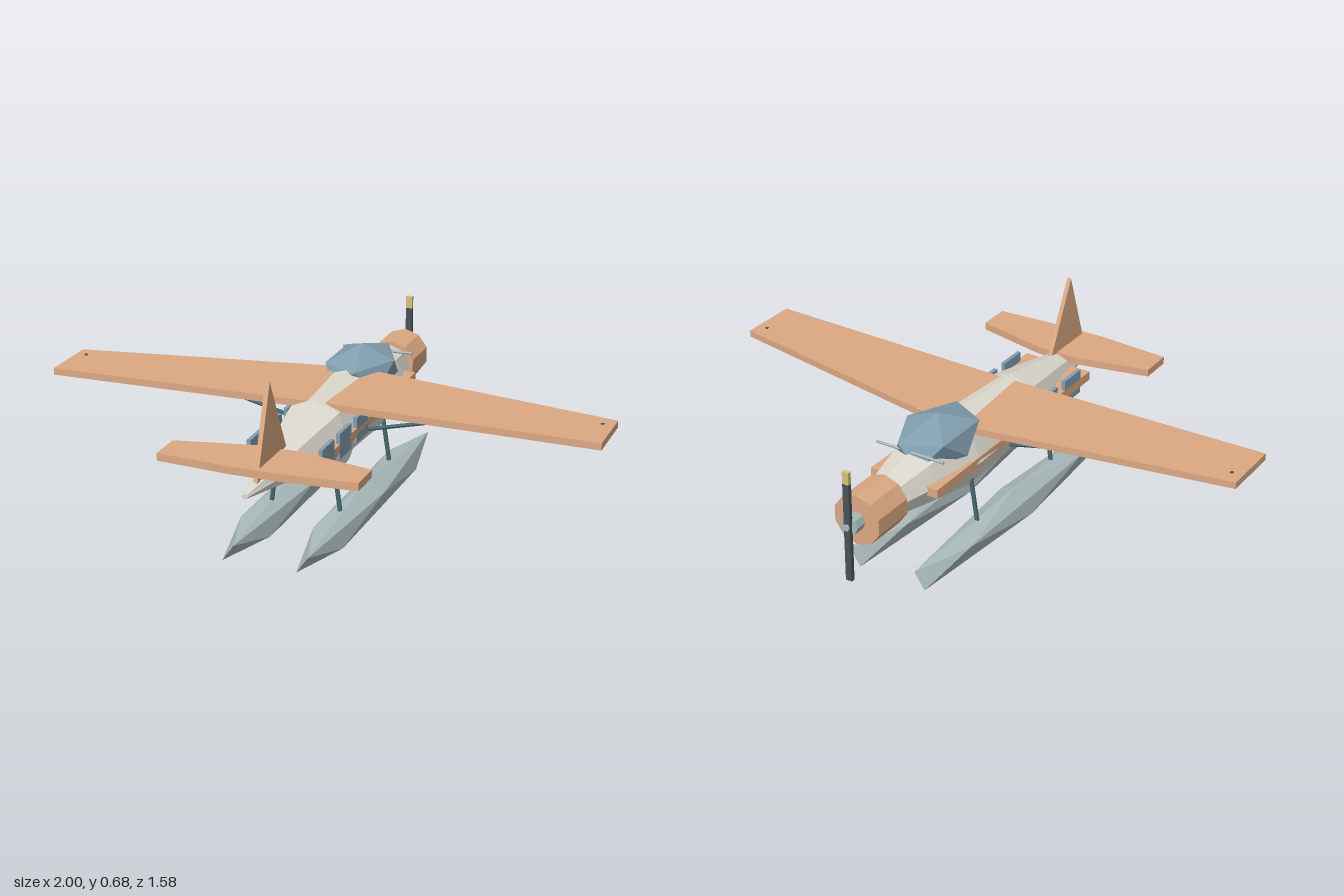
import * as THREE from 'three';

const mat = (color) => new THREE.MeshStandardMaterial({ color, flatShading: true });

export function createModel() {
  const model = new THREE.Group();
  const cream = mat(0xdedbd0), orange = mat(0xdca983), blue = mat(0x829fb0);
  const floatGrey = mat(0xa9b9ba), teal = mat(0x47696e), dark = mat(0x4a5358), yellow = mat(0xd6c27a);

  const add = (name, geometry, material, x = 0, y = 0, z = 0) => {
    const mesh = new THREE.Mesh(geometry, material);
    mesh.name = name;
    mesh.position.set(x, y, z);
    model.add(mesh);
    return mesh;
  };
  const box = (name, material, size, pos) => add(name, new THREE.BoxGeometry(...size), material, ...pos);

  // Thin rod between two points
  const rod = (name, material, from, to, r) => {
    const a = new THREE.Vector3(...from), b = new THREE.Vector3(...to);
    const mesh = add(name, new THREE.CylinderGeometry(r, r, a.distanceTo(b), 6), material);
    mesh.position.copy(a).add(b).multiplyScalar(0.5);
    mesh.quaternion.setFromUnitVectors(new THREE.Vector3(0, 1, 0), b.sub(a).normalize());
  };

  // Horizontal slab, mirrored in x, from the [x, z] outline of its left half
  const slab = (name, half, bottom, thickness) => {
    const outline = [...half, ...half.filter((p) => p[0] > 0).reverse().map(([x, z]) => [-x, z])];
    const shape = new THREE.Shape(outline.map(([x, z]) => new THREE.Vector2(x, -z)));
    const geometry = new THREE.ExtrudeGeometry(shape, { depth: thickness, bevelEnabled: false });
    add(name, geometry.rotateX(-Math.PI / 2), orange, 0, bottom, 0);
  };

  // Stretched icosahedron standing on a corner
  const gem = (sx, sy, sz) =>
    new THREE.IcosahedronGeometry(1, 0).rotateZ(-Math.atan(0.618)).scale(sx, sy, sz);

  // Octagonal fuselage: [z, half width, bottom, top] from nose to tail
  const sections = [
    [-0.6, 0.068, 0.285, 0.42], [-0.42, 0.108, 0.253, 0.455], [-0.2, 0.139, 0.215, 0.483],
    [0.2, 0.125, 0.228, 0.472], [0.79, 0.012, 0.345, 0.362],
  ];
  const rows = sections.length - 1;
  const body = new THREE.CylinderGeometry(1, 1, 1, 8, rows).rotateX(Math.PI / 2);
  const p = body.attributes.position;
  for (let i = 0; i < p.count; i++) {
    const [z, w, low, high] = sections[Math.round((p.getZ(i) + 0.5) * rows)];
    p.setXYZ(i, p.getX(i) * w, (low + high) / 2 + p.getY(i) * (high - low) / 2, z);
  }
  body.computeVertexNormals();
  add('fuselage', body, cream);
  box('sideStripe', orange, [0.27, 0.034, 0.995], [0, 0.353, 0.035]);

  // Cockpit and windscreen bar
  add('cockpitCanopy', gem(0.137, 0.09, 0.208), blue, 0, 0.44, -0.263);
  rod('windscreenBar', floatGrey, [-0.135, 0.455, -0.425], [0.135, 0.455, -0.425], 0.005);

  // Engine cowling, hub and propeller
  const disc = (r, length, sides) => new THREE.CylinderGeometry(r, r, length, sides).rotateX(Math.PI / 2);
  add('engineCowling', disc(0.092, 0.16, 10), orange, 0, 0.348, -0.65);
  add('propellerHub', disc(0.034, 0.045, 8), floatGrey, 0, 0.35, -0.75);
  add('propellerSpinner', disc(0.012, 0.03, 8), floatGrey, 0, 0.35, -0.776);
  box('propellerBlade', dark, [0.024, 0.365, 0.015], [0, 0.3275, -0.777]);
  box('propellerTip', yellow, [0.024, 0.045, 0.015], [0, 0.5325, -0.777]);

  // Wing and tail surfaces
  slab('wing', [[0, 0.18], [1, 0.2], [1, -0.02], [0, -0.2]], 0.435, 0.025);
  slab('tailplane', [[0, 0.72], [0.08, 0.72], [0.35, 0.7], [0.35, 0.58], [0.08, 0.52], [0, 0.52]], 0.39, 0.027);
  const finShape = new THREE.Shape([[-0.48, 0.41], [-0.61, 0.68], [-0.72, 0.37]].map((c) => new THREE.Vector2(...c)));
  const fin = new THREE.ExtrudeGeometry(finShape, { depth: 0.016, bevelEnabled: false });
  add('tailFin', fin.rotateY(Math.PI / 2), orange, -0.002, 0, 0);

  // Parts on both sides
  for (const side of [1, -1]) {
    for (const z of [0.41, 0.25, 0.09]) {
      box('cabinWindow', blue, [0.014, 0.092, 0.11], [side * 0.128, 0.361, z]);
    }
    rod('wingStrut', teal, [side * 0.125, 0.315, 0.005], [side * 0.62, 0.437, 0.005], 0.007);
    add('wingtipLight', new THREE.CylinderGeometry(0.007, 0.007, 0.03, 6), dark, side * 0.96, 0.447, 0.03);
    add('float', gem(0.074, 0.065, 0.711), floatGrey, side * 0.132, 0.07, 0.033);
    for (const [z, top] of [[0.28, 0.3], [-0.21, 0.285]]) {
      rod('floatStrut', teal, [side * 0.127, 0.11, z], [side * 0.1, top, z], 0.008);
    }
  }
  return model;
}
